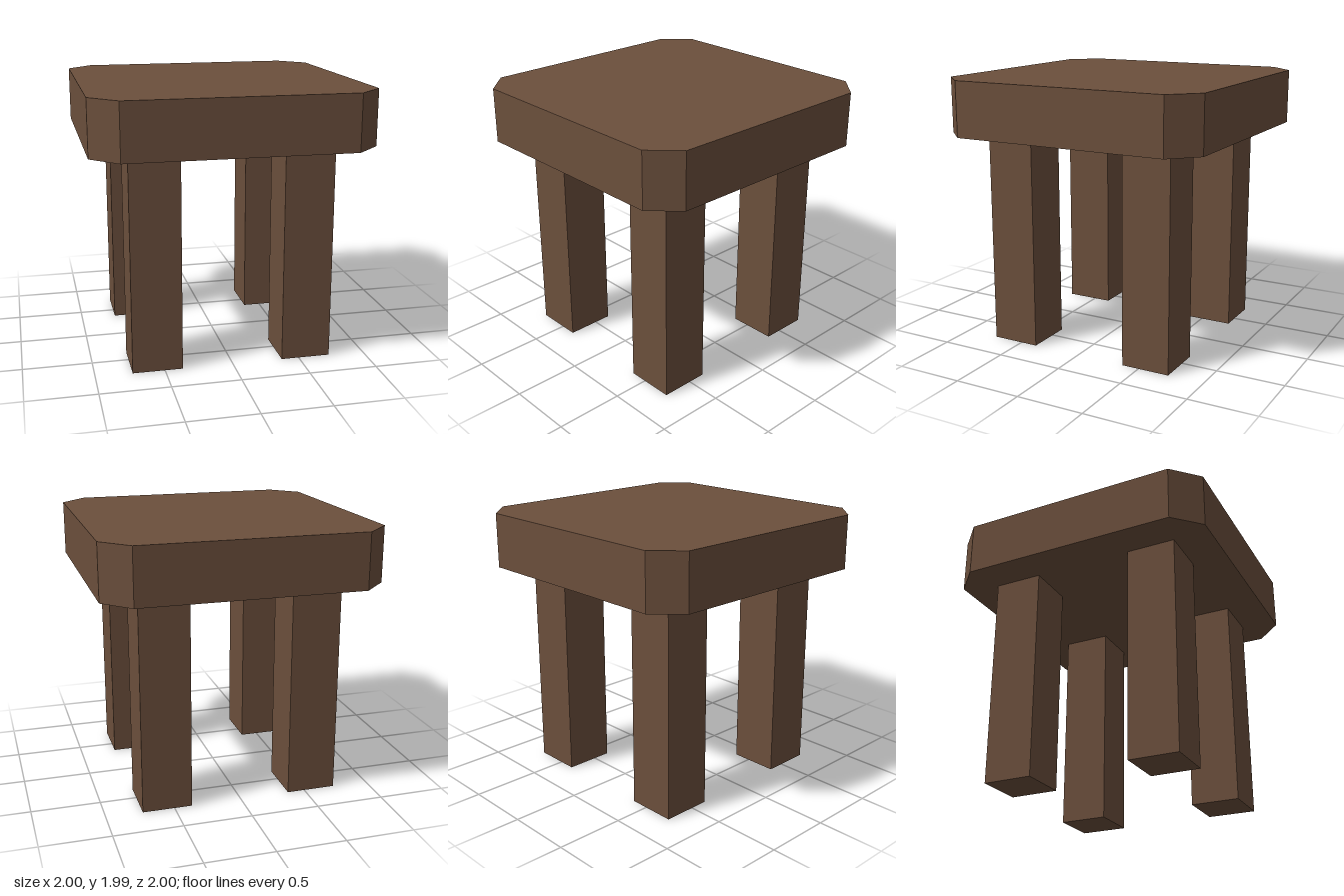
import * as THREE from 'three';

export function createModel() {
  const model = new THREE.Group();
  model.name = 'stool';

  const wood = new THREE.MeshStandardMaterial({ color: 0x6b4f3c });
  wood.name = 'brown wood';

  const top = 1.99, underside = 1.585;

  // Seat: square slab with four cut corners
  const c = 0.81;
  const outline = new THREE.Shape([
    [-c, -1], [c, -1], [1, -c], [1, c], [c, 1], [-c, 1], [-1, c], [-1, -c],
  ].map(([x, y]) => new THREE.Vector2(x, y)));
  const seatGeometry = new THREE.ExtrudeGeometry(outline, { depth: top - underside, bevelEnabled: false });
  seatGeometry.rotateX(-Math.PI / 2);
  const seat = new THREE.Mesh(seatGeometry, wood);
  seat.name = 'seat';
  seat.position.y = underside;
  model.add(seat);

  // Four square legs
  const legGeometry = new THREE.BoxGeometry(0.363, underside, 0.363);
  for (const [zName, z] of [['front', 1], ['back', -1]]) {
    for (const [xName, x] of [['Left', 1], ['Right', -1]]) {
      const leg = new THREE.Mesh(legGeometry, wood);
      leg.name = `${zName}${xName}Leg`;
      leg.position.set(x * 0.552, underside / 2, z * 0.552);
      model.add(leg);
    }
  }

  return model;
}
